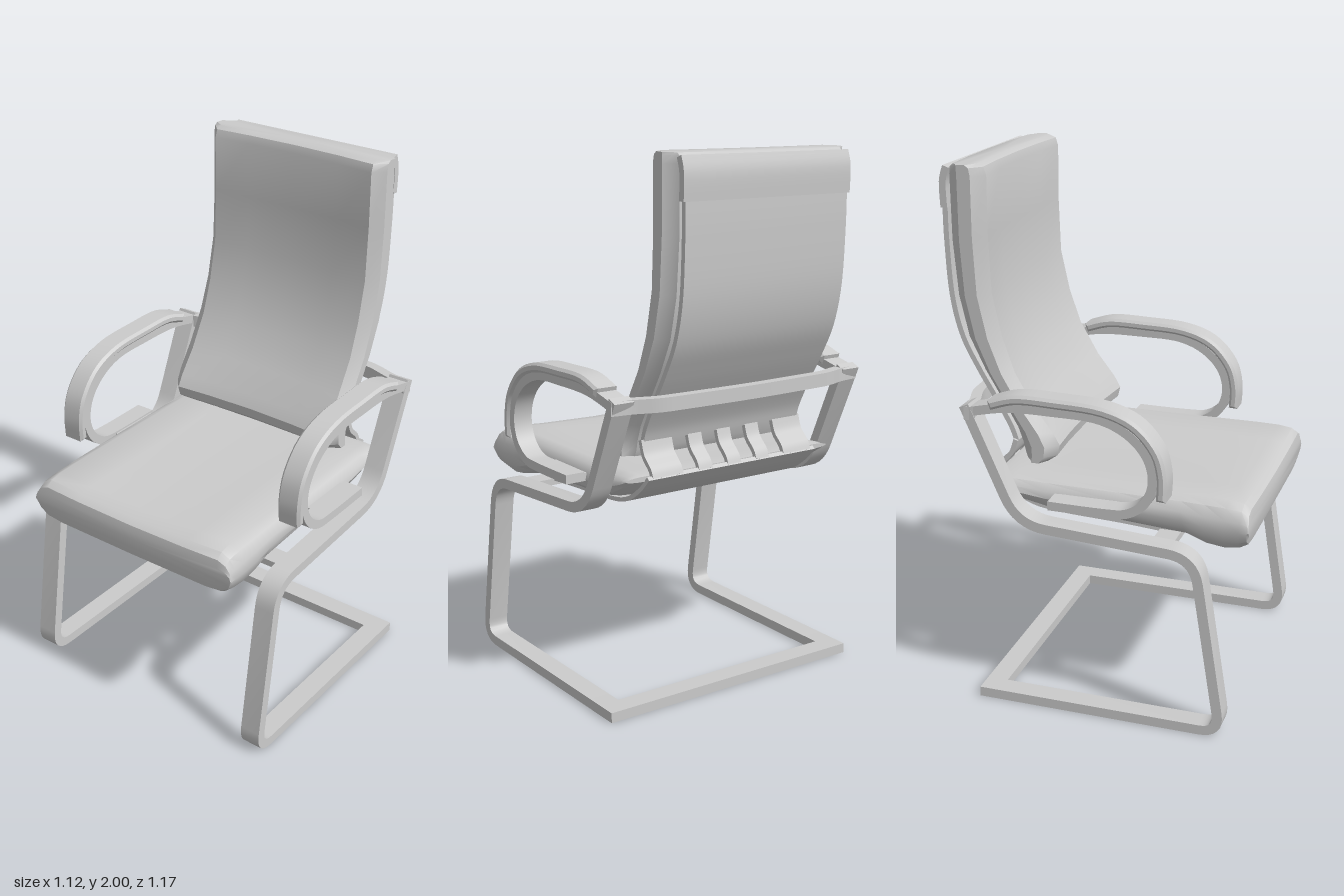
import * as THREE from 'three';
import { toCreasedNormals } from 'three/addons/utils/BufferGeometryUtils.js';

const material = new THREE.MeshStandardMaterial({ color: 0xcccccc });
const v2 = ([x, y]) => new THREE.Vector2(x, y);

function add(parent, name, geometry) {
  const mesh = new THREE.Mesh(toCreasedNormals(geometry, 0.6), material);
  mesh.name = name;
  parent.add(mesh);
  return mesh;
}

// Polyline with rounded corners; radii[i] belongs to the i-th inner point
function rounded(points, radii) {
  const p = points.map(v2), path = new THREE.Path();
  path.moveTo(p[0].x, p[0].y);
  for (let i = 1; i < p.length - 1; i++) {
    const toward = (q) => q.clone().sub(p[i]).setLength(radii[i - 1]).add(p[i]);
    const a = toward(p[i - 1]), b = toward(p[i + 1]);
    path.lineTo(a.x, a.y);
    path.quadraticCurveTo(p[i].x, p[i].y, b.x, b.y);
  }
  const end = p[p.length - 1];
  path.lineTo(end.x, end.y);
  return path.getPoints(8);
}

const smooth = (points, n = 32) => new THREE.SplineCurve(points.map(v2)).getPoints(n);

// Flat bar: centreline thickened in its plane, then extruded to a width
function bar(line, thickness, width, bevel = 0) {
  const left = [], right = [];
  line.forEach((p, i) => {
    const a = line[Math.max(i - 1, 0)], b = line[Math.min(i + 1, line.length - 1)];
    const n = new THREE.Vector2(a.y - b.y, b.x - a.x).setLength(thickness / 2 - bevel);
    left.push(p.clone().add(n));
    right.unshift(p.clone().sub(n));
  });
  const depth = width - 2 * bevel;
  return new THREE.ExtrudeGeometry(new THREE.Shape([...left, ...right]), {
    depth, bevelEnabled: bevel > 0, bevelSize: bevel, bevelThickness: bevel, bevelSegments: 1,
  }).translate(0, 0, -depth / 2);
}

// Bar whose centreline is given as [z, y] pairs, with its width along x
const sideBar = (line, thickness, width, x = 0, bevel = 0) =>
  bar(line, thickness, width, bevel).rotateY(-Math.PI / 2).translate(x, 0, 0);

// Bar whose centreline is given as [x, -z] pairs, with its height along y
const flatBar = (line, thickness, height, y) =>
  bar(line, thickness, height).rotateX(-Math.PI / 2).translate(0, y, 0);

// Padded body: stations [faceZ, faceY, rearZ, rearY], half section [x, 0 face .. 1 rear]
function cushion(stations, half) {
  const ring = [...half, ...half.slice(1, -1).reverse().map(([x, t]) => [-x, t])];
  const n = ring.length, pos = [], index = [];
  for (const [z0, y0, z1, y1] of stations)
    for (const [x, t] of ring) pos.push(x, y0 + (y1 - y0) * t, z0 + (z1 - z0) * t);
  for (let s = 0; s < stations.length - 1; s++)
    for (let i = 0; i < n; i++) {
      const a = s * n + i, b = s * n + (i + 1) % n;
      index.push(a, b, b + n, a, b + n, a + n);
    }
  // End caps
  const last = (stations.length - 1) * n, c = pos.length / 3;
  for (const s of [stations[0], stations[stations.length - 1]])
    pos.push(0, (s[1] + s[3]) / 2, (s[0] + s[2]) / 2);
  for (let i = 0; i < n; i++) {
    const j = (i + 1) % n;
    index.push(c, j, i, c + 1, last + i, last + j);
  }
  const g = new THREE.BufferGeometry();
  g.setAttribute('position', new THREE.Float32BufferAttribute(pos, 3));
  g.setIndex(index);
  return g;
}

export function createModel() {
  const chair = new THREE.Group();
  chair.name = 'cantileverChair';

  // Seat cushion, front to back
  add(chair, 'seatCushion', cushion([
    [0.585, 0.82, 0.585, 0.75], [0.58, 0.85, 0.575, 0.71], [0.555, 0.87, 0.545, 0.69],
    [0.5, 0.878, 0.49, 0.68], [0.42, 0.88, 0.42, 0.69], [0.33, 0.88, 0.35, 0.72],
    [0.1, 0.88, 0.1, 0.738], [-0.18, 0.88, -0.16, 0.75], [-0.3, 0.88, -0.27, 0.775],
    [-0.36, 0.88, -0.34, 0.82], [-0.385, 0.875, -0.385, 0.855],
  ], [[0, 0.08], [0.25, 0.05], [0.4, 0], [0.435, 0.1], [0.455, 0.3], [0.46, 0.5],
    [0.445, 0.75], [0.41, 0.92], [0.34, 0.98], [0, 1]]));

  // Backrest cushion, bottom to top
  add(chair, 'backCushion', cushion([
    [-0.2, 0.92, -0.29, 0.92], [-0.165, 0.945, -0.305, 0.945], [-0.155, 0.985, -0.315, 0.98],
    [-0.18, 1.03, -0.335, 1.04], [-0.25, 1.12, -0.39, 1.14], [-0.325, 1.25, -0.455, 1.25],
    [-0.37, 1.38, -0.515, 1.37], [-0.405, 1.54, -0.55, 1.52], [-0.412, 1.75, -0.568, 1.72],
    [-0.41, 1.96, -0.57, 1.96], [-0.42, 1.99, -0.565, 1.985], [-0.445, 2, -0.55, 1.995],
  ], [[0, 0.12], [0.2, 0.08], [0.35, 0], [0.39, 0.28], [0.39, 0.6], [0.365, 0.72],
    [0.35, 0.88], [0.2, 0.97], [0, 1]]));

  // Thin shell behind the back and under the seat
  add(chair, 'backShell', sideBar(smooth([[-0.325, 0.985], [-0.345, 1.04], [-0.4, 1.14],
    [-0.465, 1.25], [-0.525, 1.37], [-0.56, 1.52], [-0.572, 1.72], [-0.573, 1.85]]), 0.02, 0.7));
  add(chair, 'headPanel', sideBar(smooth([[-0.573, 1.84], [-0.575, 1.93], [-0.56, 1.985]], 8), 0.026, 0.72));
  add(chair, 'seatShell', sideBar(smooth([[0.3, 0.715], [0.1, 0.73], [-0.16, 0.743], [-0.27, 0.765],
    [-0.35, 0.815], [-0.405, 0.87]]), 0.016, 0.76));
  // Ribs leave four open slots between seat and back
  for (const [x, width] of [[-0.295, 0.13], [-0.13, 0.06], [0, 0.06], [0.13, 0.06], [0.295, 0.13]])
    add(chair, 'shellRib', sideBar(smooth([[-0.4, 0.865], [-0.385, 0.895], [-0.345, 0.935],
      [-0.325, 0.99]], 12), 0.018, width, x));

  // Mirrored sides: cantilever rail, arm loop, arm pad and bracket
  const rail = rounded([[-0.42, 0.02], [0.522, 0.02], [0.415, 0.702], [-0.25, 0.742], [-0.44, 1.175]],
    [0.08, 0.1, 0.11]);
  const armLine = smooth([[-0.13, 0.83], [0.08, 0.83], [0.17, 0.84], [0.235, 0.89], [0.262, 0.97],
    [0.24, 1.06], [0.17, 1.135], [0.06, 1.18], [-0.1, 1.187], [-0.28, 1.183], [-0.44, 1.15]], 48);
  const padLine = smooth([[0.293, 0.91], [0.294, 0.99], [0.268, 1.08], [0.19, 1.165], [0.07, 1.208],
    [-0.1, 1.217], [-0.24, 1.217], [-0.335, 1.19]], 32);
  for (const side of [1, -1]) {
    const group = new THREE.Group();
    group.name = side > 0 ? 'leftSide' : 'rightSide';
    chair.add(group);
    add(group, 'rail', sideBar(rail, 0.038, 0.08, side * 0.51));
    add(group, 'armLoop', sideBar(armLine, 0.034, 0.076, side * 0.51));
    add(group, 'armPad', sideBar(padLine, 0.036, 0.095, side * 0.51, 0.01));
    add(group, 'armBracket', new THREE.BoxGeometry(0.06, 0.03, 0.22).translate(side * 0.46, 0.825, -0.01));
  }

  // Cross members
  add(chair, 'floorBar', new THREE.BoxGeometry(1.1, 0.038, 0.08).translate(0, 0.02, -0.38));
  add(chair, 'seatBar', new THREE.BoxGeometry(0.98, 0.025, 0.08).translate(0, 0.708, 0.28));
  add(chair, 'backBar', flatBar(rounded([[-0.55, 0.42], [-0.47, 0.43], [-0.37, 0.465], [0, 0.48],
    [0.37, 0.465], [0.47, 0.43], [0.55, 0.42]], [0.03, 0.04, 0.15, 0.04, 0.03]), 0.04, 0.05, 1.148));

  return chair;
}
